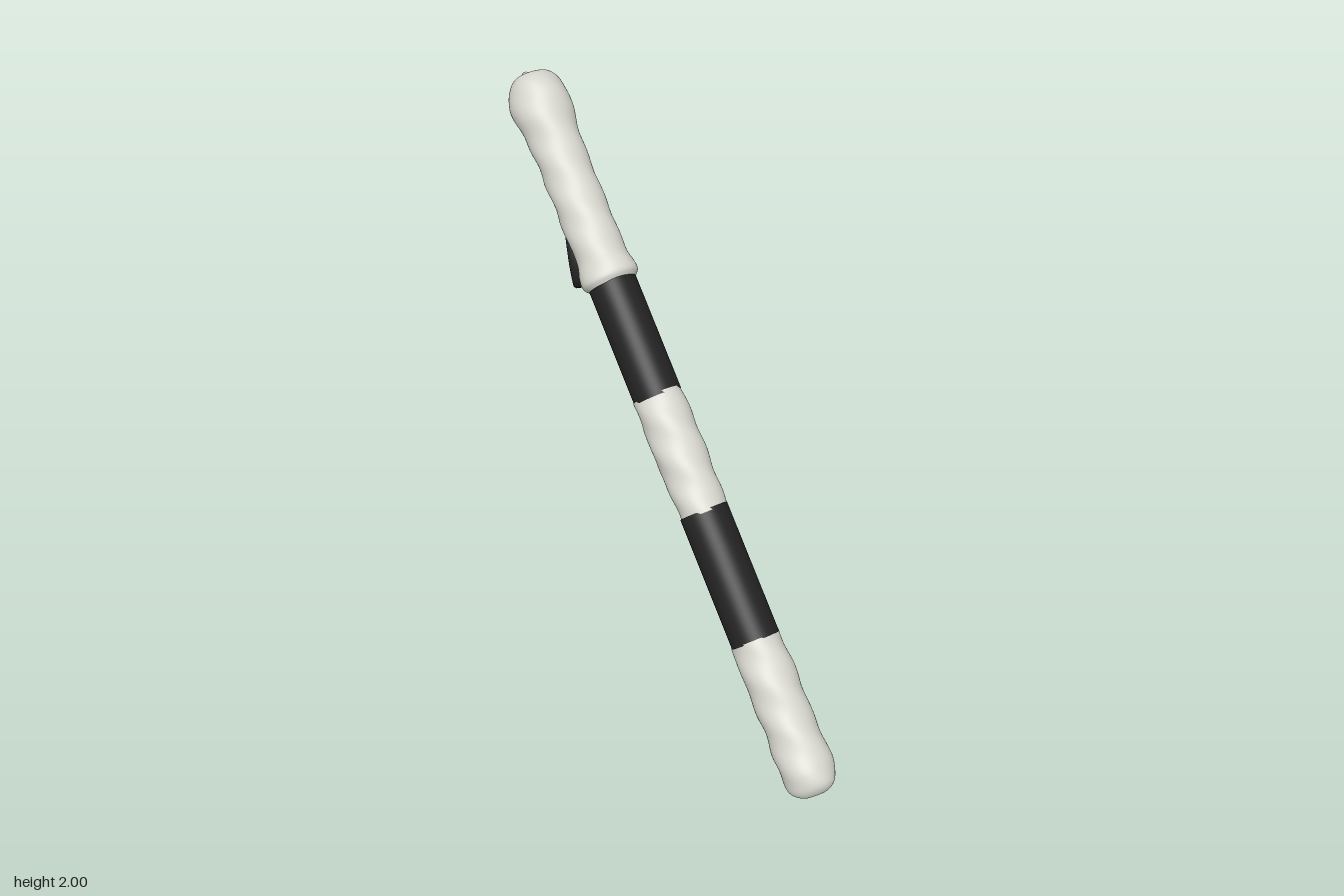
import * as THREE from 'three';
import { mergeVertices } from 'three/addons/utils/BufferGeometryUtils.js';

const V = (x, y, z) => new THREE.Vector3(x, y, z);

export function createModel() {
  const model = new THREE.Group();
  model.name = 'baton';
  const white = new THREE.MeshStandardMaterial({ name: 'off white', color: 0xd6d6ce });
  const black = new THREE.MeshStandardMaterial({ name: 'black', color: 0x222222 });

  const add = (parent, name, geometry, material) => {
    const mesh = new THREE.Mesh(geometry, material);
    mesh.name = name;
    parent.add(mesh);
    return mesh;
  };

  // Leaning shaft frame: local y runs along the stick, local z is its underside
  const axis = V(0.31, 0.95, -0.94).normalize();
  const under = V(0, -1, 0).addScaledVector(axis, axis.y).normalize();
  const side = V(0, 0, 0).crossVectors(axis, under);
  const shaft = new THREE.Group();
  shaft.name = 'shaft';
  shaft.quaternion.setFromRotationMatrix(new THREE.Matrix4().makeBasis(side, axis, under));
  shaft.position.set(-0.2, 0.44, 0.575);
  model.add(shaft);

  // Round section; the profile lists [radius, height], lump is the depth of the grip waves
  function section(name, profile, material, lump = 0) {
    const curve = new THREE.CatmullRomCurve3(profile.map(([r, y]) => V(r, y, 0)), false, 'centripetal');
    const points = curve.getPoints(lump ? 90 : 4).map(p => new THREE.Vector2(Math.max(p.x, 0), p.y));
    let geo = new THREE.LatheGeometry(points, 48);
    geo.deleteAttribute('uv');
    geo.deleteAttribute('normal');
    geo = mergeVertices(geo, 1e-5);
    const pos = geo.attributes.position;
    for (let i = 0; i < pos.count; i++) {
      const x = pos.getX(i), y = pos.getY(i), z = pos.getZ(i);
      const r = Math.hypot(x, z);
      if (r < 0.02) continue;
      const a = Math.atan2(x, z);
      const below = Math.max(0, Math.cos(a)) ** 1.5;
      const wave = Math.sin(y * 46 + 1) * 0.6 + Math.sin(y * 27 + 2 * a) * 0.4;
      const k = 1 + lump * (below * wave + 0.25 * Math.sin(y * 38 + 3 * a)) / r;
      pos.setX(i, x * k);
      pos.setZ(i, z * k);
    }
    geo.computeVertexNormals();
    return add(shaft, name, geo, material);
  }

  section('lowerEnd', [[0, -0.575], [0.045, -0.57], [0.08, -0.545], [0.096, -0.49], [0.096, -0.42],
    [0.092, -0.3], [0.094, -0.12], [0.088, 0.005]], white, 0.011);
  section('lowerBand', [[0.089, 0], [0.089, 0.49]], black);
  section('middle', [[0.087, 0.48], [0.09, 0.6], [0.093, 0.8], [0.088, 0.935]], white, 0.011);
  section('upperBand', [[0.089, 0.925], [0.089, 1.375]], black);
  section('handle', [[0.088, 1.365], [0.104, 1.385], [0.104, 1.42], [0.094, 1.47], [0.093, 1.6],
    [0.092, 1.75], [0.093, 1.88], [0.098, 1.96], [0.108, 2.03], [0.11, 2.09], [0.098, 2.145],
    [0.07, 2.18], [0.03, 2.192], [0, 2.19]], white, 0.009);

  // Cord from the knob to the knot, and down to the strap
  const cord = (name, pts, r) => add(model, name,
    new THREE.TubeGeometry(new THREE.CatmullRomCurve3(pts), 24, r, 8), white);
  cord('upperCord', [V(0.25, 1.94, -0.86), V(0.265, 1.97, -0.91), V(0.31, 1.93, -0.95), V(0.35, 1.865, -0.965)], 0.015);
  cord('lowerCord', [V(0.27, 1.87, -0.9), V(0.30, 1.89, -0.94), V(0.35, 1.865, -0.965)], 0.014);
  for (const s of [-1, 1]) {
    cord('hangingCord', [V(0.353 + s * 0.008, 1.87, -0.965), V(0.358 + s * 0.01, 1.81, -0.955 + s * 0.006),
      V(0.365 + s * 0.005, 1.74, -0.945)], 0.012);
  }

  // Knot
  const knot = add(model, 'knot', new THREE.SphereGeometry(0.032, 16, 12), black);
  knot.position.set(0.352, 1.866, -0.966);
  knot.scale.set(1, 0.8, 1);
  const wrap = add(model, 'knotWrap', new THREE.TorusGeometry(0.024, 0.011, 8, 20), black);
  wrap.position.copy(knot.position);
  wrap.rotation.set(1.3, 0.3, 0);

  // Wrist strap: closed loop, widened across its own plane
  const loop = new THREE.CatmullRomCurve3([
    V(0.367, 1.765, -0.948), V(0.378, 1.63, -0.922), V(0.368, 1.46, -0.85), V(0.335, 1.34, -0.78),
    V(0.285, 1.24, -0.715), V(0.235, 1.217, -0.655), V(0.195, 1.25, -0.615), V(0.187, 1.33, -0.622),
    V(0.215, 1.43, -0.665), V(0.285, 1.55, -0.755), V(0.34, 1.66, -0.86)], true);
  const strap = new THREE.TubeGeometry(loop, 90, 0.015, 10, true);
  const across = V(-0.135, 0, 0.155).cross(V(-0.135, -0.55, 0.3)).normalize();
  const p = V(0, 0, 0), c = V(0, 0, 0);
  const pos = strap.attributes.position;
  for (let i = 0; i < pos.count; i++) {
    loop.getPointAt((Math.floor(i / 11) % 90) / 90, c);
    p.fromBufferAttribute(pos, i);
    p.addScaledVector(across, p.clone().sub(c).dot(across) * 0.5);
    pos.setXYZ(i, p.x, p.y, p.z);
  }
  add(model, 'wristStrap', strap, black);

  return model;
}
